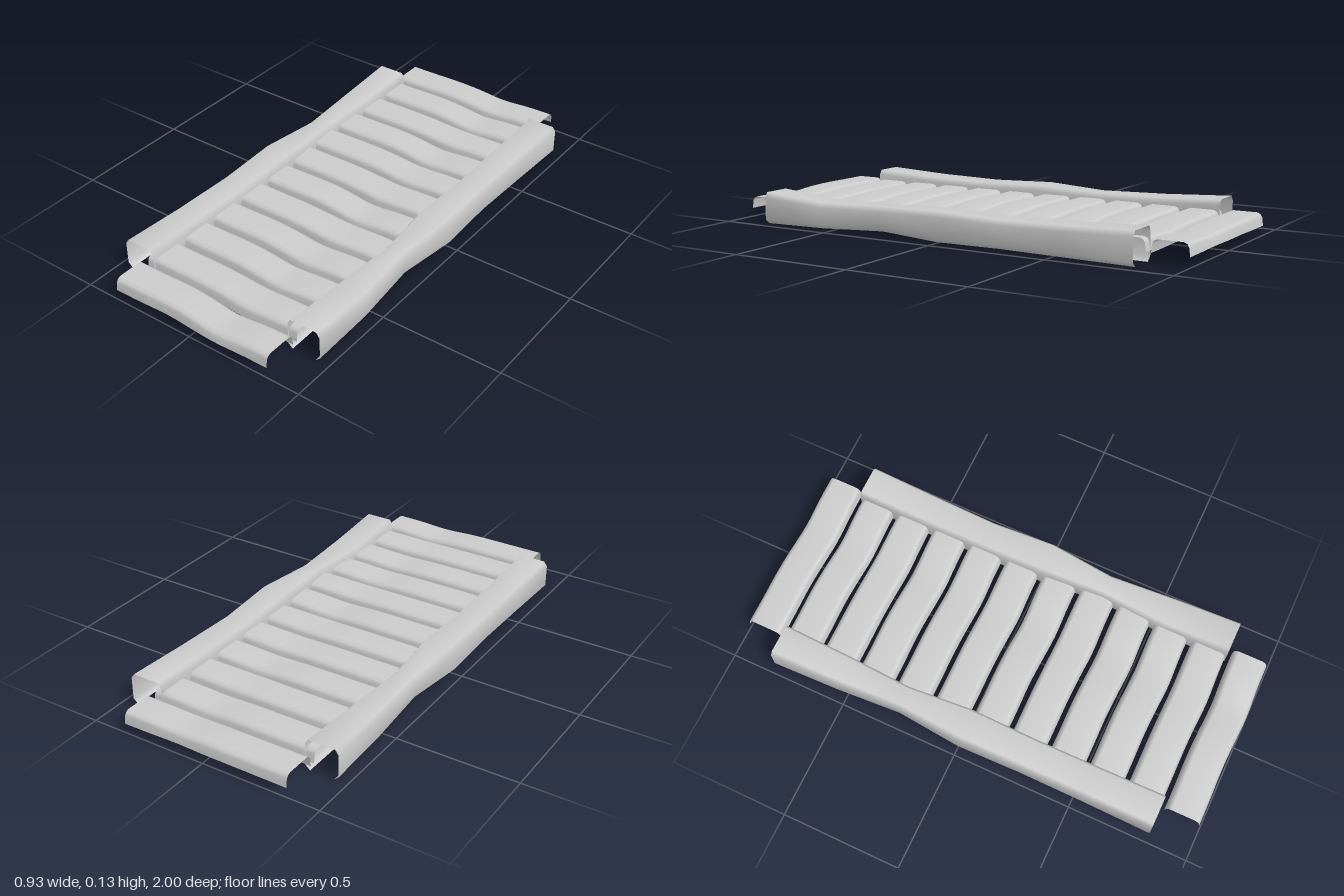
import * as THREE from 'three';

const material = new THREE.MeshStandardMaterial({ color: 0xcccccc, side: THREE.DoubleSide });

// Skins a list of open cross-sections (arrays of Vector3) as a thin sheet.
function loft(name, sections) {
  const n = sections[0].length;
  const index = [];
  for (let i = 0; i < sections.length - 1; i++) {
    for (let j = 0; j < n - 1; j++) {
      const a = i * n + j, b = a + n;
      index.push(a, b, a + 1, b, b + 1, a + 1);
    }
  }
  const geometry = new THREE.BufferGeometry().setFromPoints(sections.flat());
  geometry.setIndex(index);
  geometry.computeVertexNormals();
  const mesh = new THREE.Mesh(geometry, material);
  mesh.name = name;
  return mesh;
}

// Rail section: a channel with chamfered shoulders and small inturned lips.
function railSection(outer, inner, top, bottom, z) {
  const s = Math.sign(outer);
  return [
    [outer - s * 0.02, bottom], [outer, bottom + 0.018], [outer, top - 0.02], [outer - s * 0.014, top],
    [inner + s * 0.014, top], [inner, top - 0.02], [inner, bottom + 0.018], [inner + s * 0.02, bottom],
  ].map(([x, y]) => new THREE.Vector3(x, y, z));
}

// Slat section: a shallow channel with rounded shoulders.
function slatSection(x, back, front, top, bottom) {
  return [
    [back, bottom], [back + 0.004, top - 0.018], [back + 0.011, top - 0.006], [back + 0.024, top],
    [front - 0.024, top], [front - 0.011, top - 0.006], [front - 0.004, top - 0.018], [front, bottom],
  ].map(([z, y]) => new THREE.Vector3(x, y, z));
}

export function createModel() {
  const group = new THREE.Group();
  group.name = 'slattedFrame';

  // Side rails, hand-worn at stations along z: outer x, inner x, top, bottom
  const zs = [0.83, 0.55, 0.27, 0, -0.27, -0.55, -0.83];
  const rails = {
    leftRail: [
      [0.462, 0.32, 0.13, 0], [0.458, 0.32, 0.109, 0.004], [0.437, 0.34, 0.114, 0.015], [0.462, 0.322, 0.124, 0.004],
      [0.451, 0.322, 0.114, 0.004], [0.456, 0.32, 0.12, 0.002], [0.462, 0.32, 0.13, 0],
    ],
    rightRail: [
      [-0.465, -0.325, 0.13, 0], [-0.461, -0.326, 0.118, 0.003], [-0.46, -0.327, 0.113, 0.006], [-0.465, -0.325, 0.122, 0.002],
      [-0.443, -0.343, 0.11, 0.016], [-0.458, -0.33, 0.116, 0.005], [-0.465, -0.325, 0.13, 0],
    ],
  };
  for (const [name, stations] of Object.entries(rails)) {
    group.add(loft(name, stations.map((p, i) => railSection(...p, zs[i]))));
  }

  // Twelve slats, each gently warped at its inner third points
  const steps = 18;
  for (let i = 0; i < 12; i++) {
    const z = -0.921 + i * 0.1675;
    const warp = 0.7 + 0.3 * Math.sin(i * 2.4);
    const sections = [];
    for (let k = 0; k <= steps; k++) {
      const x = -0.362 + (0.718 * k) / steps;
      const bumpA = Math.exp(-(((x + 0.12) / 0.1) ** 2)) * warp;
      const bumpB = Math.exp(-(((x - 0.12) / 0.1) ** 2));
      sections.push(slatSection(
        x,
        z - 0.076 - 0.003 * bumpA + 0.006 * bumpB * warp,
        z + 0.072 - 0.003 * bumpA + 0.006 * bumpB,
        0.088 + 0.002 * bumpA - 0.011 * bumpB * warp,
        0.037 + 0.004 * bumpA,
      ));
    }
    group.add(loft('slat' + (i + 1), sections));
  }
  return group;
}
